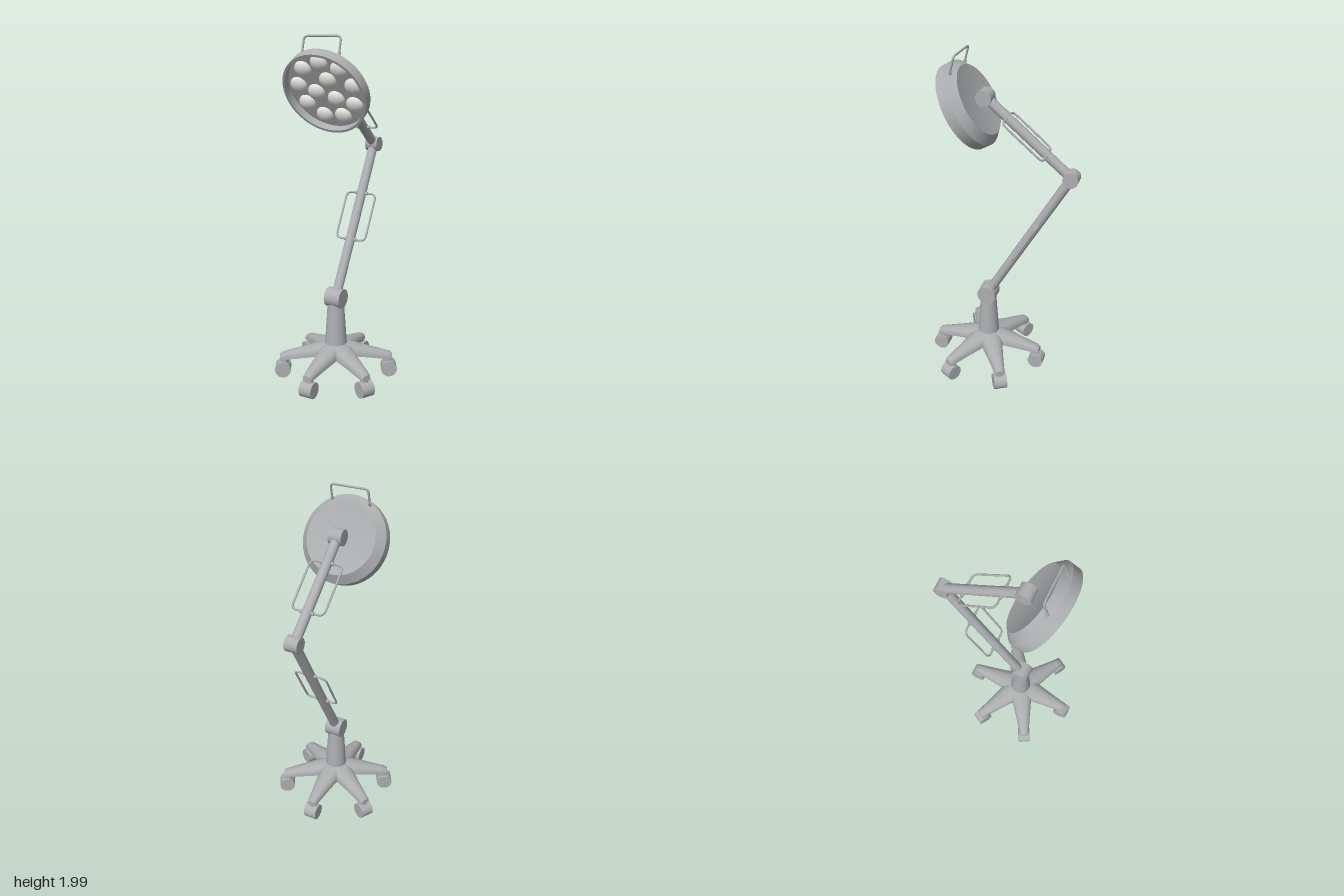
import * as THREE from 'three';
import { toCreasedNormals } from 'three/addons/utils/BufferGeometryUtils.js';

const grey = new THREE.MeshStandardMaterial({ color: 0xacaeb0 });
grey.name = 'grey';
const lensWhite = new THREE.MeshStandardMaterial({ color: 0xe4e3df });
lensWhite.name = 'lensWhite';

const BASE_Z = 0.082;
const V = (x, y, z) => new THREE.Vector3(x, y, z);

function add(parent, name, geometry, x = 0, y = 0, z = 0, material = grey) {
  const mesh = new THREE.Mesh(geometry, material);
  mesh.name = name;
  mesh.position.set(x, y, z);
  parent.add(mesh);
  return mesh;
}

function group(parent, name) {
  const g = new THREE.Group();
  g.name = name;
  parent.add(g);
  return g;
}

// Cylinder lying along x
const drum = (r, width, sides = 40) =>
  new THREE.CylinderGeometry(r, r, width, sides).rotateZ(Math.PI / 2);

// Tube through points, with rounded corners
function rod(points, corner, radius) {
  const path = new THREE.CurvePath();
  let start = points[0];
  for (let i = 1; i < points.length - 1; i++) {
    const p = points[i];
    const before = p.clone().add(points[i - 1].clone().sub(p).setLength(corner));
    const after = p.clone().add(points[i + 1].clone().sub(p).setLength(corner));
    path.add(new THREE.LineCurve3(start, before));
    path.add(new THREE.QuadraticBezierCurve3(before, p, after));
    start = after;
  }
  path.add(new THREE.LineCurve3(start, points[points.length - 1]));
  return new THREE.TubeGeometry(path, 72, radius, 10);
}

// Tapered leg along +z: flat below, rounded on top
function legGeometry() {
  const profile = [[1, 0], [1, 0.45], [0.8, 0.8], [0.4, 0.97], [0, 1],
    [-0.4, 0.97], [-0.8, 0.8], [-1, 0.45], [-1, 0]];
  // distance, half width, top, bottom
  const sections = [[0, 0.078, 0.228, 0.15], [0.105, 0.064, 0.208, 0.148],
    [0.2, 0.048, 0.182, 0.132], [0.3, 0.033, 0.156, 0.114],
    [0.325, 0.03, 0.148, 0.11], [0.336, 0.026, 0.138, 0.108], [0.336, 0, 0.118, 0.118]];
  const pos = [], index = [], n = profile.length;
  for (const [z, w, top, bottom] of sections)
    for (const [px, py] of profile) pos.push(px * w, bottom + py * (top - bottom), z);
  for (let i = 0; i < sections.length - 1; i++)
    for (let j = 0; j < n; j++) {
      const a = i * n + j, b = i * n + (j + 1) % n;
      index.push(a, b, b + n, a, b + n, a + n);
    }
  const g = new THREE.BufferGeometry();
  g.setAttribute('position', new THREE.Float32BufferAttribute(pos, 3));
  g.setIndex(index);
  return toCreasedNormals(g, 0.8);
}

function buildBase(root) {
  const base = group(root, 'base');
  base.position.z = BASE_Z;
  const leg = legGeometry(), wheel = drum(0.047, 0.078);
  const stem = new THREE.CylinderGeometry(0.024, 0.024, 0.085, 20);
  for (let i = 0; i < 6; i++) {
    const spoke = group(base, 'legWithCaster');
    spoke.rotation.y = i * Math.PI / 3;
    add(spoke, 'leg', leg);
    add(spoke, 'casterStem', stem, 0, 0.0925, 0.311);
    add(spoke, 'casterWheel', wheel, 0, 0.05, 0.318);
  }
  add(base, 'column', new THREE.CylinderGeometry(0.047, 0.068, 0.31, 40), 0, 0.325, 0);
  add(base, 'columnJoint', drum(0.057, 0.099), 0, 0.496, 0);
}

// Arm between two joints in the middle plane, with a grab loop on each side
function buildArm(root, name, from, to, handleAt) {
  const arm = group(root, name);
  const dir = to.clone().sub(from), length = dir.length();
  arm.position.copy(from);
  arm.rotation.x = Math.atan2(dir.z, dir.y);
  add(arm, 'armTube', new THREE.CylinderGeometry(0.028, 0.028, length, 32), 0, length / 2, 0);
  const half = 0.147;
  for (const s of [1, -1]) {
    add(arm, 'sideHandle', rod([V(s * 0.015, -half, 0), V(s * 0.097, -half, 0),
      V(s * 0.097, half, 0), V(s * 0.015, half, 0)], 0.035, 0.006), 0, handleAt, 0);
    for (const e of [1, -1])
      add(arm, 'handleCollar', drum(0.01, 0.022, 16), s * 0.029, handleAt + e * half, 0);
  }
}

function buildHead(root) {
  const head = group(root, 'lampHead');
  head.position.set(0, 1.685, 0.2115);
  head.rotation.x = 0.52;
  // Housing with shallow dished back, bevel and recessed front
  const profile = [[0, -0.088], [0.07, -0.09], [0.14, -0.096], [0.202, -0.105],
    [0.2465, -0.06], [0.2465, 0], [0.233, 0], [0.233, -0.045], [0, -0.045]];
  const shell = new THREE.LatheGeometry(profile.map(p => new THREE.Vector2(...p)), 64);
  add(head, 'housing', toCreasedNormals(shell.rotateX(Math.PI / 2), 0.5));
  // Domed lenses: nine outside, three inside
  const lens = new THREE.SphereGeometry(1, 28, 10, 0, Math.PI * 2, 0, Math.PI / 2)
    .rotateX(Math.PI / 2).scale(0.051, 0.051, 0.034);
  const ring = (count, radius, start) => {
    for (let i = 0; i < count; i++) {
      const a = start + i * Math.PI * 2 / count;
      add(head, 'lens', lens, Math.cos(a) * radius, Math.sin(a) * radius, -0.046, lensWhite);
    }
  };
  ring(9, 0.17, Math.PI / 2);
  ring(3, 0.068, 1.22);
  // Carrying handle on the upper bevel
  add(head, 'topHandle', rod([V(-0.112, 0.19, -0.068), V(-0.112, 0.27, -0.146),
    V(0.112, 0.27, -0.146), V(0.112, 0.19, -0.068)], 0.025, 0.006));
  for (const s of [1, -1]) {
    const collar = add(head, 'handleCollar', new THREE.CylinderGeometry(0.009, 0.009, 0.022, 16),
      s * 0.112, 0.202, -0.08);
    collar.rotation.x = -Math.PI / 4;
  }
}

export function createModel() {
  const root = new THREE.Group();
  root.name = 'floorLamp';
  const shoulder = V(0, 0.496, BASE_Z), elbow = V(0, 1.344, -0.402), neck = V(0, 1.755, 0.088);
  buildBase(root);
  buildArm(root, 'lowerArm', shoulder, elbow, 0.506);
  buildArm(root, 'upperArm', elbow, neck, 0.332);
  add(root, 'elbowJoint', drum(0.044, 0.077), 0, elbow.y, elbow.z);
  add(root, 'headJoint', drum(0.045, 0.077), 0, neck.y, neck.z);
  buildHead(root);
  return root;
}
